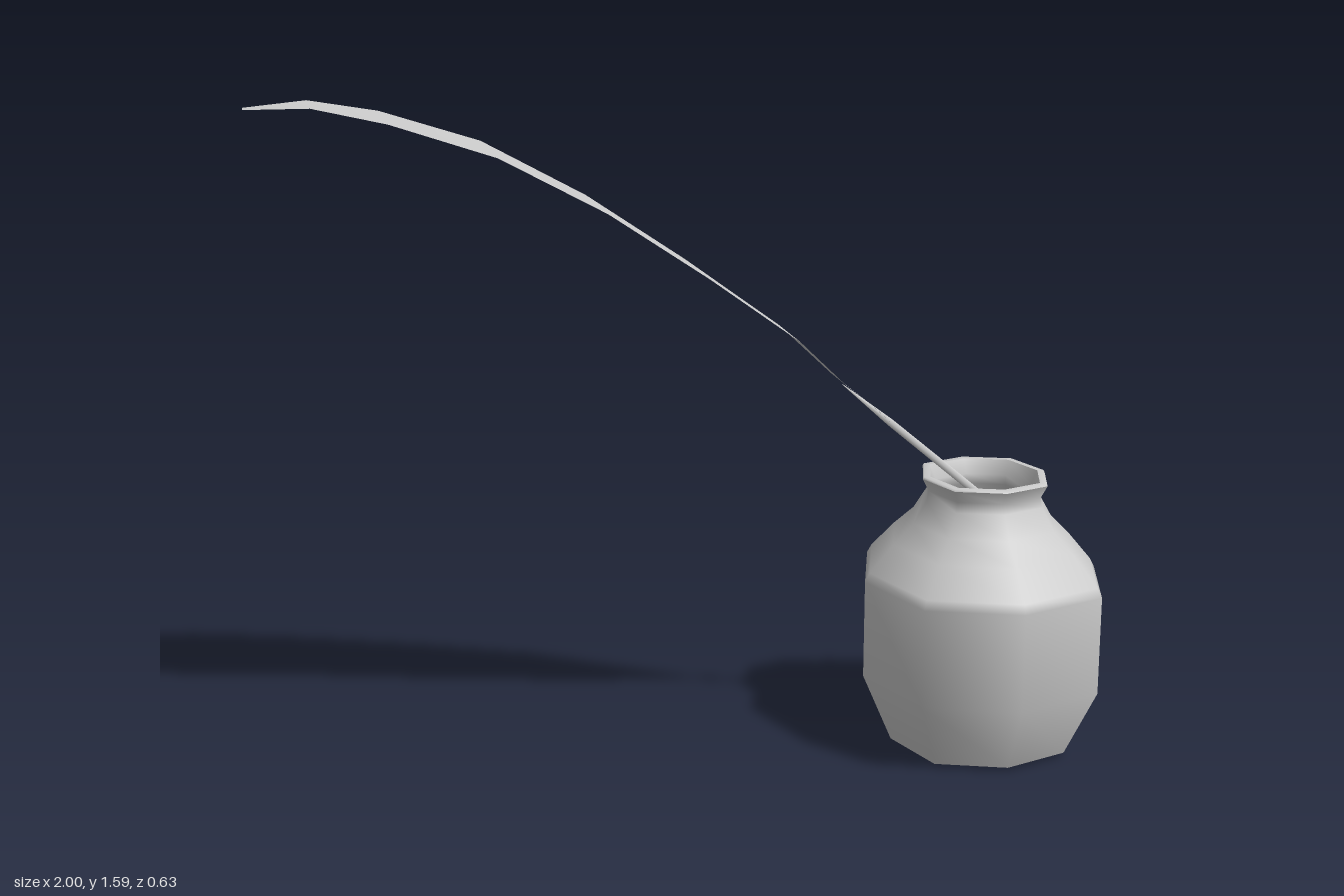
import * as THREE from 'three';

const material = new THREE.MeshStandardMaterial({ color: 0xcccccc });
const sheetMaterial = new THREE.MeshStandardMaterial({ color: 0xcccccc, side: THREE.DoubleSide });

// Eight-sided turned surface, slightly narrower in x, with fuller diagonals
function turned(name, profile) {
  const geometry = new THREE.LatheGeometry(profile.map(([r, y]) => new THREE.Vector2(r, y)), 8);
  const p = geometry.attributes.position;
  for (let i = 0; i < p.count; i++) {
    const x = p.getX(i), z = p.getZ(i);
    const k = Math.abs(x) > 1e-4 && Math.abs(z) > 1e-4 ? 1.055 : 1;
    p.setXYZ(i, x * k, p.getY(i), z * k);
  }
  geometry.scale(0.935, 1, 1);
  const mesh = new THREE.Mesh(geometry, material);
  mesh.name = name;
  return mesh;
}

// Tapered rod between two points
function rod(name, a, b, ra, rb) {
  const from = new THREE.Vector3(...a), to = new THREE.Vector3(...b);
  const axis = to.clone().sub(from);
  const mesh = new THREE.Mesh(new THREE.CylinderGeometry(rb, ra, axis.length(), 6), material);
  mesh.position.copy(from).add(to).multiplyScalar(0.5);
  mesh.quaternion.setFromUnitVectors(new THREE.Vector3(0, 1, 0), axis.normalize());
  mesh.name = name;
  return mesh;
}

// Thin arching blade: each station is [x, y, back z, front z]
function blade(stations) {
  const positions = [], index = [];
  stations.forEach(([x, y, back, front], i) => {
    positions.push(x, y, back, x, y, front);
    if (i > 0) {
      const n = i * 2;
      index.push(n - 2, n, n - 1, n, n + 1, n - 1);
    }
  });
  const geometry = new THREE.BufferGeometry();
  geometry.setAttribute('position', new THREE.Float32BufferAttribute(positions, 3));
  geometry.setIndex(index);
  geometry.computeVertexNormals();
  const mesh = new THREE.Mesh(geometry, sheetMaterial);
  mesh.name = 'leafBlade';
  return mesh;
}

export function createModel() {
  const model = new THREE.Group();
  model.name = 'leafInVase';

  // Vase: outer wall, underside, lip and hollow inside
  const vase = new THREE.Group();
  vase.name = 'vase';
  vase.position.x = 0.707;
  vase.add(
    turned('outerWall', [[0.235, 0.01], [0.314, 0.18], [0.314, 0.42], [0.302, 0.442],
      [0.24, 0.51], [0.187, 0.56], [0.153, 0.615], [0.149, 0.64], [0.165, 0.67]]),
    turned('underside', [[0, 0], [0.1, 0.002], [0.235, 0.01]]),
    turned('lip', [[0.165, 0.67], [0.162, 0.675], [0.145, 0.675]]),
    turned('innerWall', [[0.145, 0.675], [0.128, 0.64], [0.132, 0.615], [0.167, 0.555],
      [0.22, 0.505], [0.29, 0.42], [0.29, 0.185], [0.218, 0.035]]),
    turned('innerFloor', [[0.218, 0.035], [0, 0.03]])
  );
  model.add(vase);

  // Leaf: cut stem end, straight stalk, tapering midrib and arching blade
  const leaf = new THREE.Group();
  leaf.name = 'leaf';
  leaf.add(
    rod('stemEnd', [0.82, 0.52, -0.005], [0.78, 0.553, -0.005], 0.02, 0.011),
    rod('stalk', [0.79, 0.545, -0.005], [0.47, 0.813, -0.005], 0.011, 0.01),
    rod('midrib', [0.47, 0.813, -0.005], [0.35, 0.912, -0.005], 0.01, 0.001),
    blade([
      [0.48, 0.805, -0.014, 0.006], [0.42, 0.86, -0.036, 0.026], [0.34, 0.925, -0.066, 0.055],
      [0.22, 1.04, -0.11, 0.095], [0, 1.2, -0.14, 0.127], [-0.23, 1.355, -0.158, 0.143],
      [-0.47, 1.485, -0.172, 0.157], [-0.7, 1.56, -0.152, 0.135],
      [-0.86, 1.592, -0.1, 0.085], [-1, 1.585, -0.034, 0.015]
    ])
  );
  model.add(leaf);
  return model;
}
